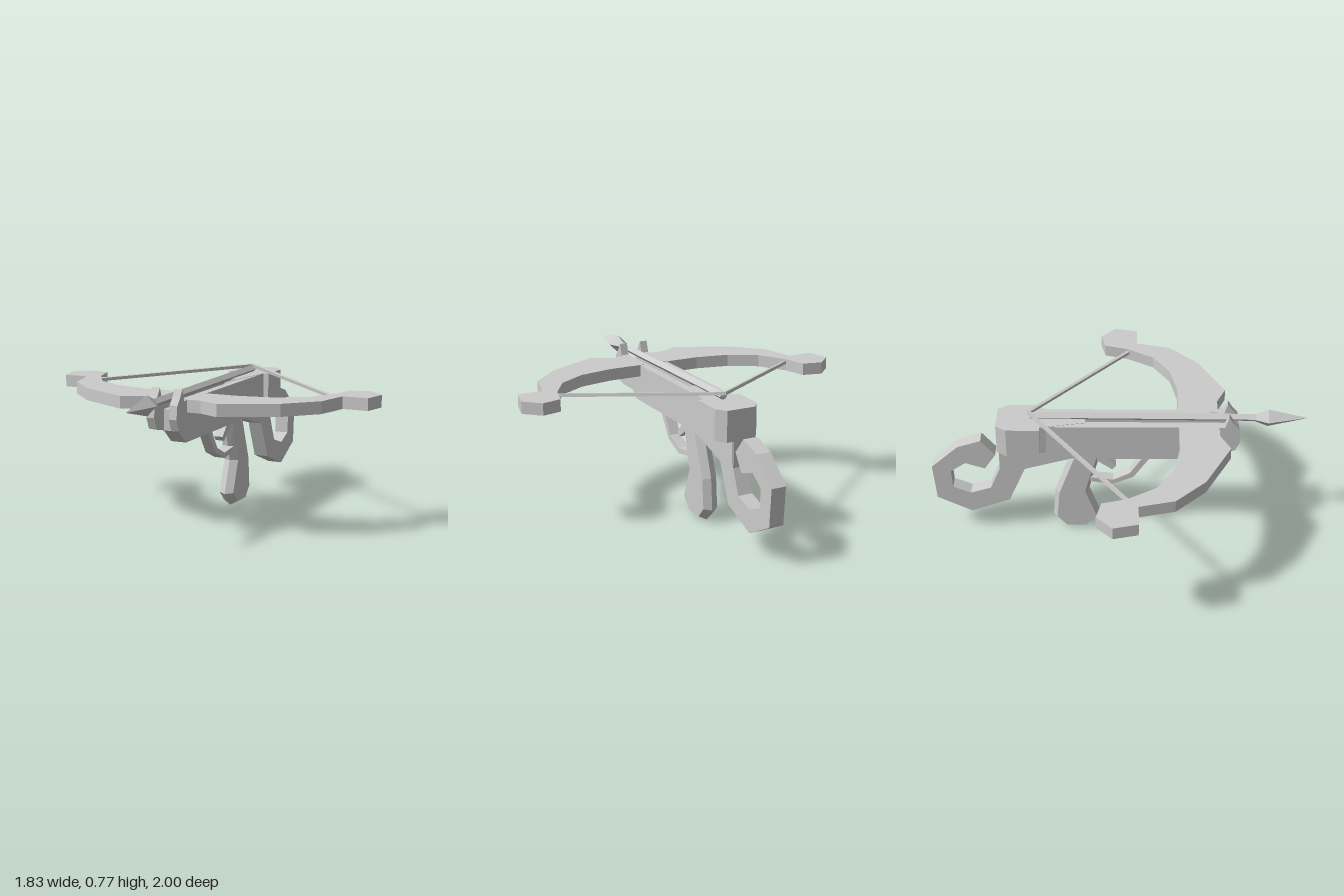
import * as THREE from 'three';

const material = new THREE.MeshStandardMaterial({ color: 0xcccccc, flatShading: true });

function shapeOf(points) {
  return new THREE.Shape(points.map(([a, b]) => new THREE.Vector2(a, b)));
}

// Side profile of (z, y) points, extruded across x and centred on x
function sidePart(name, points, width, x = 0) {
  const geo = new THREE.ExtrudeGeometry(shapeOf(points), { depth: width, bevelEnabled: false });
  geo.translate(0, 0, -width / 2).rotateY(-Math.PI / 2).translate(x, 0, 0);
  return named(name, geo);
}

// Plan outline of (x, z) points, extruded from y0 up to y1
function planPart(name, points, y0, y1) {
  const geo = new THREE.ExtrudeGeometry(shapeOf(points), { depth: y1 - y0, bevelEnabled: false });
  geo.rotateX(Math.PI / 2).translate(0, y1, 0);
  return named(name, geo);
}

function named(name, geo) {
  const mesh = new THREE.Mesh(geo, material);
  mesh.name = name;
  return mesh;
}

// Four-sided bar between two points
function bar(name, from, to, r) {
  const a = new THREE.Vector3(...from), b = new THREE.Vector3(...to);
  const mesh = named(name, new THREE.CylinderGeometry(r, r, a.distanceTo(b), 4));
  mesh.position.copy(a).lerp(b, 0.5);
  mesh.quaternion.setFromUnitVectors(new THREE.Vector3(0, 1, 0), b.sub(a).normalize());
  return mesh;
}

export function createModel() {
  const model = new THREE.Group();
  model.name = 'crossbow';

  // Central spine, whose top is the floor of the bolt channel
  model.add(sidePart('spine', [
    [0.54, 0.66], [0.54, 0.55], [0.46, 0.48], [-0.25, 0.48], [-0.5, 0.41],
    [-0.63, 0.41], [-0.63, 0.66],
  ], 0.085));

  // Curled shoulder hook
  model.add(sidePart('stockHook', [
    [-0.5, 0.55], [-0.5, 0.41], [-0.59, 0.2], [-0.8, 0.12], [-0.985, 0.215], [-1, 0.42],
    [-0.855, 0.55], [-0.73, 0.59], [-0.655, 0.5], [-0.715, 0.41], [-0.82, 0.445],
    [-0.9, 0.39], [-0.895, 0.285], [-0.8, 0.245], [-0.69, 0.28], [-0.635, 0.41], [-0.635, 0.55],
  ], 0.08));

  // Block behind the string, with a wedge running into the channel
  model.add(planPart('rearBlock', [
    [0.045, -0.17], [0.09, -0.41], [0.12, -0.41], [0.12, -0.585], [0.08, -0.64],
    [-0.08, -0.64], [-0.12, -0.585], [-0.12, -0.41], [-0.09, -0.41], [-0.045, -0.17],
  ], 0.55, 0.715));

  for (const s of [1, -1]) {
    const side = s > 0 ? 'left' : 'right';

    // Rail ending in an upturned horn
    model.add(sidePart(side + 'Rail', [
      [-0.45, 0.55], [0.54, 0.55], [0.62, 0.57], [0.645, 0.63], [0.635, 0.7],
      [0.605, 0.735], [0.58, 0.775], [0.56, 0.713], [-0.45, 0.713],
    ], 0.043, s * 0.0625));

    // Bow limb with a broad angular tip
    model.add(planPart(side + 'BowLimb', [
      [0.06, 0.53], [0.16, 0.53], [0.27, 0.58], [0.55, 0.44], [0.705, 0.285], [0.75, 0.105],
      [0.885, 0.105], [0.915, -0.02], [0.83, -0.1], [0.725, -0.075], [0.69, 0.05],
      [0.6, 0.195], [0.45, 0.285], [0.27, 0.32], [0.06, 0.32],
    ].map(([x, z]) => [s * x, z]), 0.65, 0.715));

    model.add(bar(side + 'String', [s * 0.7, 0.065, 0].map((v, i) => [s * 0.7, 0.695, 0.065][i]),
      [0, 0.748, -0.47], 0.012));
  }

  // Bolt: diamond shaft and faceted head
  model.add(bar('boltShaft', [0, 0.722, 0.74], [0, 0.73, -0.46], 0.022));
  const head = named('boltHead', new THREE.LatheGeometry(
    [[0, 0.72], [0.022, 0.72], [0.052, 0.79], [0, 1]].map(([r, y]) => new THREE.Vector2(r, y)), 4));
  head.rotation.x = Math.PI / 2;
  head.position.y = 0.72;
  model.add(head);

  // Pistol grip, with a ridge along its front and back
  const gripGeo = new THREE.ExtrudeGeometry(shapeOf([
    [-0.09, 0.5], [-0.155, 0.26], [-0.09, 0.08], [-0.165, 0.003], [-0.29, 0.003],
    [-0.355, 0.075], [-0.34, 0.25], [-0.25, 0.5],
  ]), { depth: 0.001, bevelThickness: 0.041, bevelSize: 0.022, bevelOffset: -0.022, bevelSegments: 1 });
  gripGeo.translate(0, 0, -0.0005).rotateY(-Math.PI / 2);
  model.add(named('grip', gripGeo));

  // Trigger and its guard
  model.add(sidePart('triggerGuard', [
    [0.18, 0.49], [0.085, 0.35], [-0.03, 0.3], [-0.15, 0.32], [-0.15, 0.345],
    [-0.025, 0.33], [0.065, 0.375], [0.14, 0.49],
  ], 0.06));
  model.add(sidePart('trigger', [
    [-0.08, 0.49], [-0.01, 0.42], [-0.03, 0.395], [-0.12, 0.46], [-0.12, 0.49],
  ], 0.05));

  return model;
}
